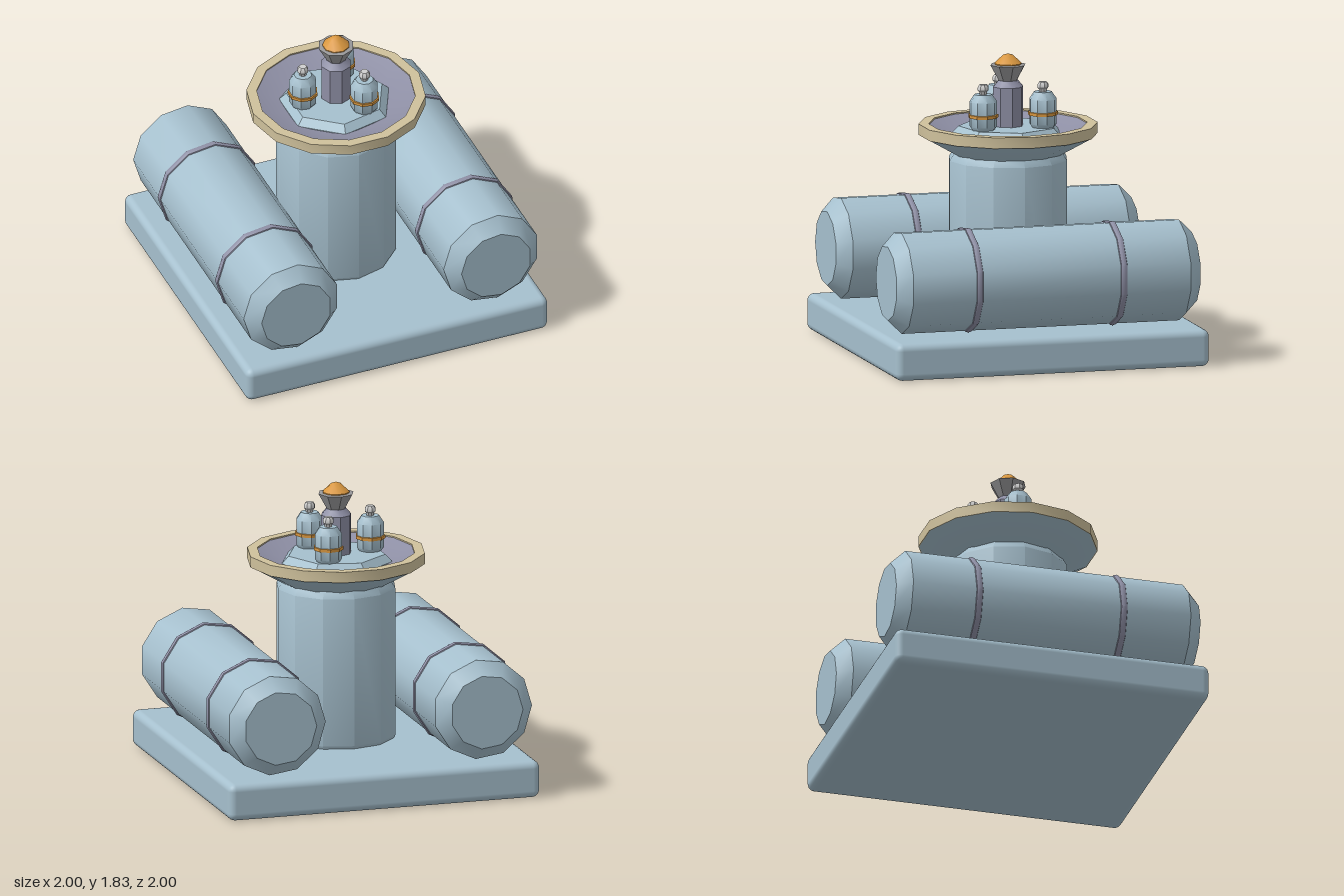
import * as THREE from 'three';
import { toCreasedNormals } from 'three/addons/utils/BufferGeometryUtils.js';
import { RoundedBoxGeometry } from 'three/addons/geometries/RoundedBoxGeometry.js';

function material(name, color) {
  const m = new THREE.MeshStandardMaterial({ color });
  m.name = name;
  return m;
}

const paleBlue = material('paleBlue', 0xa6c0ce);
const mauve = material('mauve', 0x8f90a6);
const sand = material('sand', 0xcfc19c);
const amber = material('amber', 0xd9973f);
const steel = material('steel', 0x9a9a9c);
const silver = material('silver', 0xcfcfcf);

// Faceted solid of revolution; profile runs [radius, height] from bottom to top
function turned(name, mat, sides, profile, startAngle = Math.PI / 2) {
  const points = profile.map(([r, y]) => new THREE.Vector2(r, y));
  const geo = new THREE.LatheGeometry(points, sides, startAngle);
  const mesh = new THREE.Mesh(toCreasedNormals(geo, 0.65), mat);
  mesh.name = name;
  return mesh;
}

// Lying tank with bevelled ends and two raised bands
function makeTank(x) {
  const tank = new THREE.Group();
  tank.name = 'tank';
  tank.add(turned('tankBody', paleBlue, 11, [
    [0, -0.97], [0.232, -0.97], [0.316, -0.885], [0.316, 0.885], [0.232, 0.97], [0, 0.97],
  ], -Math.PI / 2));
  for (const y of [-0.46, 0.46]) {
    const band = turned('tankBand', mauve, 11, [
      [0.31, -0.024], [0.322, -0.018], [0.328, 0], [0.322, 0.018], [0.31, 0.024],
    ], -Math.PI / 2);
    band.position.y = y;
    tank.add(band);
  }
  tank.rotation.x = Math.PI / 2;
  tank.position.set(x, 0.56, 0);
  return tank;
}

// Small canister with a band and a knob on top
function makeCanister(angle) {
  const canister = new THREE.Group();
  canister.name = 'canister';
  canister.add(
    turned('canisterBody', paleBlue, 9, [
      [0, 1.37], [0.06, 1.37], [0.085, 1.405], [0.085, 1.56], [0.055, 1.605], [0, 1.605],
    ]),
    turned('canisterBand', amber, 9, [
      [0.08, 1.458], [0.093, 1.461], [0.093, 1.48], [0.08, 1.483],
    ]),
    turned('canisterKnob', silver, 8, [
      [0.022, 1.6], [0.026, 1.622], [0.035, 1.63], [0.035, 1.65], [0.024, 1.666], [0, 1.666],
    ]),
  );
  canister.position.set(0.22 * Math.cos(angle), 0, 0.22 * Math.sin(angle));
  return canister;
}

export function createModel() {
  const model = new THREE.Group();
  model.name = 'tankStation';

  // Base slab
  const base = new THREE.Mesh(new RoundedBoxGeometry(2, 0.23, 2, 3, 0.045), paleBlue);
  base.name = 'base';
  base.position.y = 0.115;
  model.add(base);

  // Side tanks
  for (const x of [-0.663, 0.663]) model.add(makeTank(x));

  // Central column
  model.add(turned('column', paleBlue, 12, [
    [0, 0.21], [0.35, 0.21], [0.372, 0.25], [0.372, 1.18], [0.345, 1.225], [0, 1.225],
  ]));

  // Dish with rim, lining and raised platform
  model.add(
    turned('dishUnderside', paleBlue, 14, [[0, 1.2], [0.31, 1.2], [0.545, 1.332]]),
    turned('dishRim', sand, 14, [
      [0.5, 1.332], [0.55, 1.332], [0.55, 1.4], [0.487, 1.4], [0.487, 1.375],
    ]),
    turned('dishLining', mauve, 14, [[0.49, 1.393], [0.33, 1.335], [0, 1.335]]),
    turned('platform', paleBlue, 7, [[0.35, 1.31], [0.35, 1.34], [0.305, 1.385], [0, 1.385]]),
  );

  // Canisters around the centre
  for (let i = 0; i < 3; i++) model.add(makeCanister(Math.PI + (i * 2 * Math.PI) / 3));

  // Central post with funnel and lamp
  model.add(
    turned('post', mauve, 8, [
      [0, 1.37], [0.095, 1.37], [0.095, 1.628], [0.062, 1.667], [0, 1.667],
    ]),
    turned('funnel', steel, 8, [
      [0.055, 1.66], [0.112, 1.763], [0.09, 1.766], [0, 1.766],
    ]),
    turned('lamp', amber, 9, [
      [0.084, 1.755], [0.084, 1.772], [0.032, 1.822], [0, 1.833],
    ]),
  );

  return model;
}
